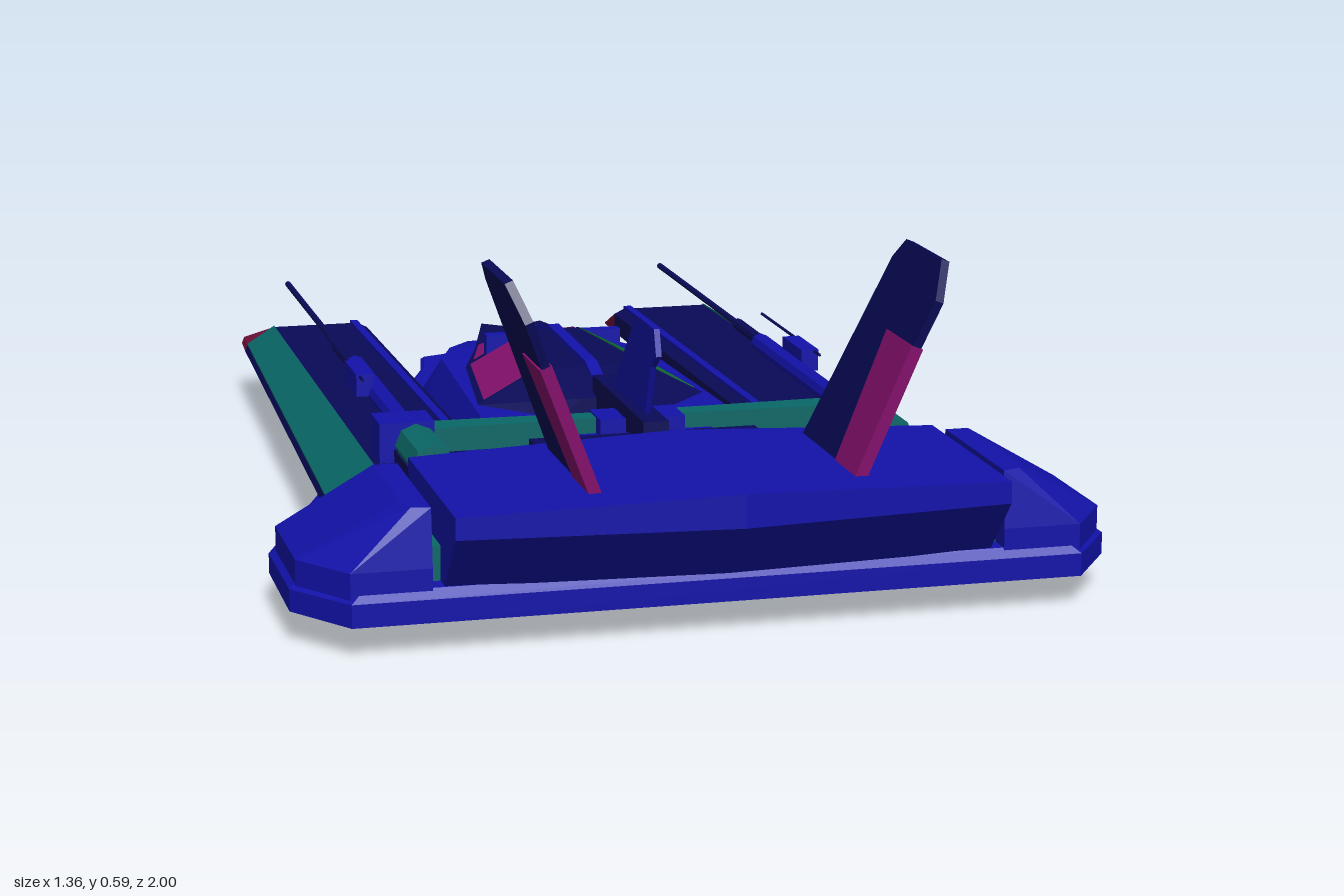
import * as THREE from 'three';

const paint = (color) => new THREE.MeshStandardMaterial({ color, flatShading: true, side: THREE.DoubleSide });
const blue = paint(0x1212aa), navy = paint(0x0a0a58), black = paint(0x060614);
const teal = paint(0x0a6868), red = paint(0x701038), magenta = paint(0x881070), green = paint(0x0c7034);

// Skin joining equal-length rings of [x, y, z], capped at both ends, facing outwards
function loft(rings) {
  const n = rings[0].length, pos = rings.flat(2), idx = [];
  for (let r = 0; r < rings.length - 1; r++)
    for (let i = 0; i < n; i++) {
      const a = r * n + i, b = r * n + (i + 1) % n;
      idx.push(a, b, b + n, a, b + n, a + n);
    }
  [0, rings.length - 1].forEach((r, end) => {
    const c = pos.length / 3;
    for (let k = 0; k < 3; k++) pos.push(rings[r].reduce((s, p) => s + p[k], 0) / n);
    for (let i = 0; i < n; i++) {
      const a = r * n + i, b = r * n + (i + 1) % n;
      end ? idx.push(c, a, b) : idx.push(c, b, a);
    }
  });
  const v = (i) => new THREE.Vector3().fromArray(pos, i * 3);
  let volume = 0;
  for (let i = 0; i < idx.length; i += 3) volume += v(idx[i]).dot(v(idx[i + 1]).cross(v(idx[i + 2])));
  if (volume < 0) idx.reverse();
  const g = new THREE.BufferGeometry();
  g.setAttribute('position', new THREE.Float32BufferAttribute(pos, 3));
  g.setIndex(idx);
  const flat = g.toNonIndexed();
  flat.computeVertexNormals();
  return flat;
}

// Thin slab from a [z, y] side outline, standing on x = 0
function slab(outline, thick) {
  return loft([-thick / 2, thick / 2].map((x) => outline.map(([z, y]) => [x, y, z])));
}

// Full ring from a half outline of [x, z] ending on the centre line
function both(half, yOf) {
  const all = [...half, ...half.slice(0, -1).reverse().map(([x, z]) => [-x, z])];
  return all.map(([x, z]) => [x, yOf(z), z]);
}

export function createModel() {
  const model = new THREE.Group();
  const add = (name, geometry, material, parent = model) => {
    const m = new THREE.Mesh(geometry, material);
    m.name = name;
    parent.add(m);
    return m;
  };
  const box = (name, x0, x1, y0, y1, z0, z1, mat, parent) => {
    const m = add(name, new THREE.BoxGeometry(x1 - x0, y1 - y0, z1 - z0), mat, parent);
    m.position.set((x0 + x1) / 2, (y0 + y1) / 2, (z0 + z1) / 2);
    return m;
  };
  const rod = (name, x, y, z0, z1, r, mat, parent, sides = 8) => {
    const m = add(name, new THREE.CylinderGeometry(r, r, z1 - z0, sides), mat, parent);
    m.rotation.x = Math.PI / 2;
    m.position.set(x, y, (z0 + z1) / 2);
    return m;
  };

  // Delta hull: dark tapered belly below a bevelled edge
  const outline = [[0.6, 0.89], [0.68, 0.78], [0.68, 0.57], [0.25, -0.5], [0.185, -0.67], [0.165, -0.77], [0, -0.83]];
  const keel = [[0.3, 0.58], [0.34, 0.58], [0.34, 0.56], [0.1, -0.3], [0.07, -0.36], [0.05, -0.38], [0, -0.38]];
  const low = (z) => 0.05 + (0.89 - z) * 0.012;
  const high = (z) => 0.088 - (0.89 - z) * 0.003;
  const rim = outline.map(([x, z]) => [x * 0.97, z * 0.985]);
  add('belly', loft([both(keel, () => 0), both(outline, low)]), black);
  add('hullEdge', loft([both(outline, low), both(outline, high), both(rim, (z) => 0.103 - (0.89 - z) * 0.008)]), blue);

  // Central fuselage between the side pods, sloping down to the nose
  const body = [[0.58, 0.26, 0.25, 0.172], [-0.38, 0.24, 0.2, 0.172], [-0.5, 0.22, 0.16, 0.165],
    [-0.66, 0.15, 0.09, 0.14], [-0.79, 0.1, 0.05, 0.095]];
  add('fuselage', loft(body.map(([z, w, t, y]) =>
    [[-w, 0.08, z], [w, 0.08, z], [t, y, z], [-t, y, z]])), blue);
  box('rearDeck', -0.2, 0.2, 0.16, 0.2, 0.37, 0.59, navy);
  box('midDeck', -0.13, 0.13, 0.16, 0.195, 0.22, 0.37, blue);
  box('finRoot', -0.022, 0.022, 0.16, 0.24, 0.1, 0.46, navy);

  // Cockpit: faceted cabin with a raised ridge and coloured panes
  const cabin = [[0.13, 0.09, 0.05, 0.205], [0, 0.21, 0.1, 0.232], [-0.3, 0.17, 0.05, 0.238],
    [-0.45, 0.12, 0.035, 0.2], [-0.67, 0.06, 0.02, 0.165]];
  const cabinRing = ([z, w, t, y]) => [[-w, 0.15, z], [w, 0.15, z], [w, 0.172, z], [t, y, z], [-t, y, z], [-w, 0.172, z]];
  add('cockpit', loft(cabin.map(cabinRing)), navy);
  add('cockpitRidge', slab([[0.13, 0.2], [0, 0.243], [-0.3, 0.247], [-0.45, 0.21], [-0.67, 0.174], [-0.67, 0.15], [0.13, 0.15]], 0.022), blue);
  box('cockpitHoop', -0.13, 0.13, 0.18, 0.232, -0.32, -0.295, blue);
  add('nose', new THREE.ConeGeometry(0.025, 0.08, 6), teal).rotation.x = -Math.PI / 2;
  model.getObjectByName('nose').position.set(0, 0.085, -0.79);

  // Rear engine block with a ridged roof and an undercut face
  add('engineBlock', loft([-0.45, 0, 0.45].map((x) => {
    const c = x === 0;
    const zr = c ? 1 : 0.96, top = c ? 0.255 : 0.236;
    return [[x, 0.1, 0.58], [x, 0.1, c ? 0.9 : 0.87], [x, 0.2, zr], [x, top, zr], [x, top, 0.58]];
  })), blue);

  // Central fin
  add('centreFin', slab([[0.18, 0.235], [0.33, 0.39], [0.37, 0.4], [0.46, 0.4], [0.475, 0.355], [0.44, 0.33], [0.4, 0.235]], 0.01), blue);

  for (const s of [1, -1]) {
    const side = new THREE.Group();
    side.name = s > 0 ? 'leftSide' : 'rightSide';
    model.add(side);
    const mirror = (rings) => rings.map((ring) => ring.map(([x, y, z]) => [s * x, y, z]));
    const X = (a, b) => [Math.min(s * a, s * b), Math.max(s * a, s * b)];
    const block = (name, a, b, ...rest) => box(name, ...X(a, b), ...rest, side);

    // Long forward pod with a sloping outer flank and wedge tip
    const pod = (z, o, t, y) => [[0.26, 0.1, z], [o, 0.1, z], [o - 0.005, 0.112, z], [t, y, z], [0.28, y, z], [0.26, y - 0.01, z]];
    const back = pod(0.55, 0.56, 0.47, 0.17), front = pod(-0.85, 0.51, 0.45, 0.147);
    add('pod', loft(mirror([back, front])), navy, side);
    add('podTip', loft(mirror([front, pod(-0.93, 0.505, 0.5, 0.112)])), red, side);
    const flank = (ring) => [ring[2], ring[3], [ring[3][0], ring[3][1] + 0.003, ring[3][2]], [ring[2][0], ring[2][1] + 0.003, ring[2][2]]];
    add('podFlank', loft(mirror([flank(back), flank(front)])), teal, side);
    add('podRail', loft(mirror([back, front].map((r) => {
      const [x, y, z] = r[4];
      return [[x, y, z], [x + 0.015, y, z], [x + 0.015, y + 0.006, z], [x, y + 0.006, z]];
    }))), blue, side);

    // Outboard rear nacelle with sloped sides
    const foot = [[0.47, 0.58], [0.67, 0.58], [0.67, 0.78], [0.6, 0.88], [0.47, 0.88]];
    const roof = [[0.47, 0.59], [0.51, 0.59], [0.51, 0.82], [0.5, 0.86], [0.47, 0.87]];
    add('nacelle', loft(mirror([[foot, 0.09], [foot, 0.135], [roof, 0.23]].map(([f, y]) => f.map(([x, z]) => [x, y, z])))), blue, side);
    block('nacelleLink', 0.44, 0.48, 0.1, 0.16, 0.6, 0.84, teal);

    // Canted tail fin with rudder panel
    const fin = new THREE.Group();
    fin.name = 'tailFin';
    fin.position.set(s * 0.213, 0.235, 0);
    fin.rotation.z = -s * Math.atan2(0.14, 0.355);
    fin.scale.y = 1.07;
    side.add(fin);
    add('finBlade', slab([[0.615, 0], [0.7, 0.32], [0.73, 0.353], [0.9, 0.353], [0.94, 0.295], [0.925, 0.225], [0.9, 0]], 0.014), navy, fin);
    add('rudder', slab([[0.8, 0], [0.8, 0.22], [0.925, 0.22], [0.905, 0]], 0.02), magenta, fin);

    // Cannon resting on the pod
    rod('barrel', s * 0.397, 0.203, -1, 0.3, 0.006, navy, side);
    rod('barrelSleeve', s * 0.392, 0.203, -0.24, 0.3, 0.018, blue, side);
    rod('barrelCollar', s * 0.397, 0.203, -0.41, -0.24, 0.011, navy, side);
    rod('sightRod', s * 0.425, 0.236, -0.34, 0.03, 0.003, navy, side, 5);
    block('sightMount', 0.4, 0.432, 0.2, 0.24, -0.12, 0.0, blue);
    block('cannonMount', 0.36, 0.455, 0.165, 0.236, 0.27, 0.35, blue);
    block('cannonPedestal', 0.37, 0.43, 0.15, 0.19, 0.26, 0.5, navy);
    rod('cannonBreech', s * 0.398, 0.205, 0.38, 0.53, 0.036, teal, side);
    rod('breechNeck', s * 0.398, 0.205, 0.34, 0.39, 0.02, navy, side);

    // Cross strut from the spine to the cannon
    add('strut', loft(mirror([[0.07, 0.02], [0.37, 0.028]].map(([x, h]) =>
      [[x, 0.18, 0.32 - h], [x, 0.18, 0.32 + h], [x, 0.222, 0.32 + h], [x, 0.222, 0.32 - h]]))), teal, side);
    block('strutFoot', 0.03, 0.075, 0.17, 0.225, 0.29, 0.37, blue);

    // Cockpit panes, set just proud of the cabin slopes
    const pane = (z, w, t, y) => [[w, 0.176, z], [t, y, z], [t, y + 0.004, z], [w + 0.003, 0.18, z]];
    add('sidePane', loft(mirror([pane(-0.01, 0.195, 0.1, 0.231), pane(-0.29, 0.16, 0.05, 0.236)])), s > 0 ? green : magenta, side);
    add('frontPane', loft(mirror([pane(-0.33, 0.145, 0.047, 0.229), pane(-0.45, 0.11, 0.035, 0.199)])), magenta, side);
  }
  return model;
}
